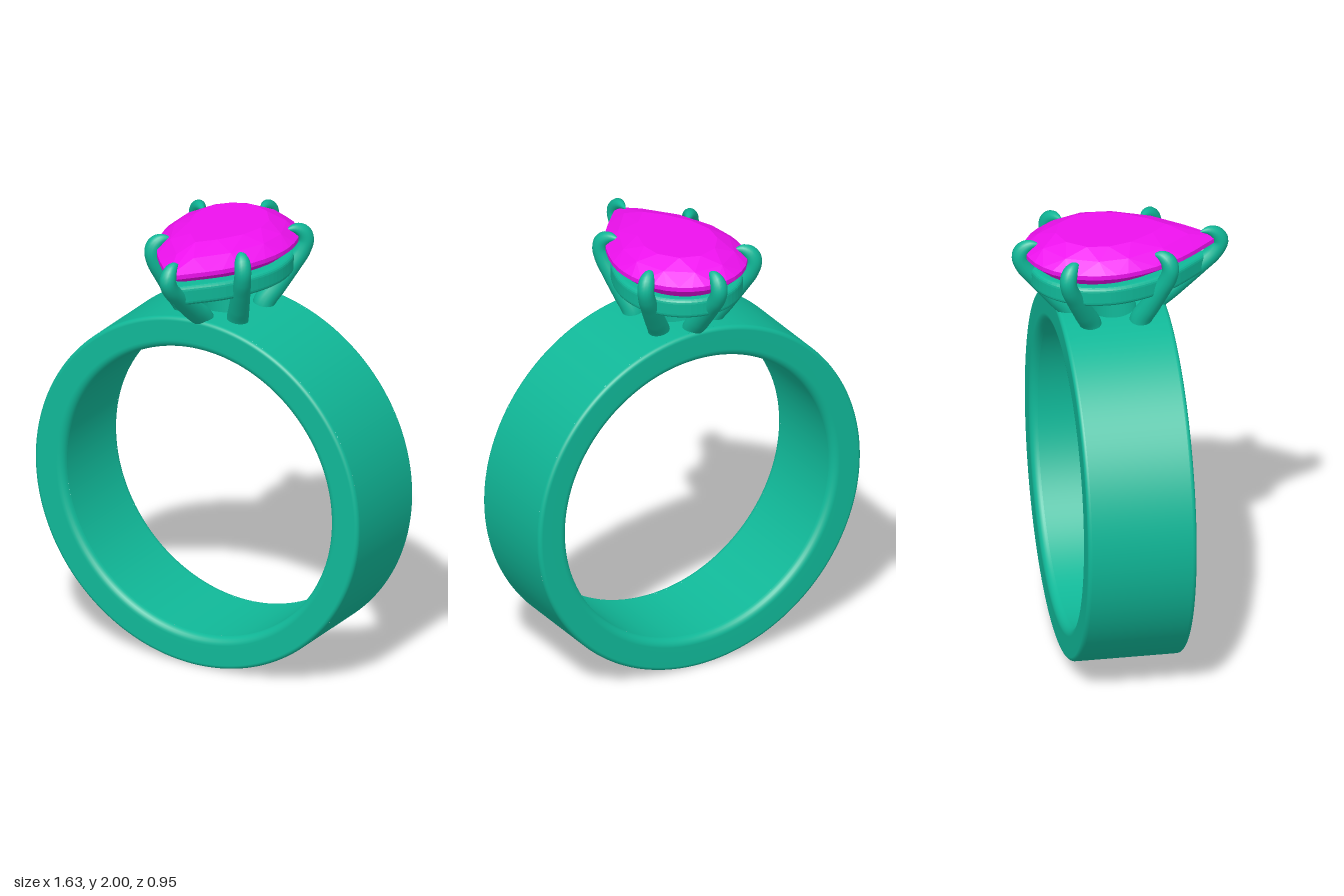
import * as THREE from 'three';
import { ConvexGeometry } from 'three/addons/geometries/ConvexGeometry.js';

const V2 = (x, y) => new THREE.Vector2(x, y);
const V3 = (x, y, z) => new THREE.Vector3(x, y, z);
const metal = new THREE.MeshStandardMaterial({ color: 0x10b898 });
const gem = new THREE.MeshStandardMaterial({ color: 0xee11ee, flatShading: true });

// Band dimensions
const OUT = 0.814, IN = 0.67, HALF = 0.24, MID_Z = -0.04;
const OUT_FILLET = 0.018, IN_FILLET = 0.035, HOLE = 0.11, GAP = 0.3;

function add(parent, name, geometry, material = metal) {
  const mesh = new THREE.Mesh(geometry, material);
  mesh.name = name;
  parent.add(mesh);
  return mesh;
}

// Surface from a function of u and v, both 0..1
function grid(fn, nu, nv) {
  const pos = [], idx = [];
  for (let j = 0; j <= nv; j++)
    for (let i = 0; i <= nu; i++) pos.push(...fn(i / nu, j / nv).toArray());
  for (let j = 0; j < nv; j++)
    for (let i = 0; i < nu; i++) {
      const a = j * (nu + 1) + i, b = a + nu + 1;
      idx.push(a, a + 1, b, a + 1, b + 1, b);
    }
  const g = new THREE.BufferGeometry();
  g.setAttribute('position', new THREE.Float32BufferAttribute(pos, 3));
  g.setIndex(idx);
  g.computeVertexNormals();
  return g;
}

// Lathe turned so that its axis runs along z and its start is at the top
function hoop(points, gap = 0) {
  return new THREE.LatheGeometry(points, 160, gap, Math.PI * 2 - 2 * gap).rotateX(-Math.PI / 2);
}

// Piece of the band's top wall that runs from the round hole to a rectangle
function wallPatch(radius, halfZ, dir) {
  return grid((u, v) => {
    const p = dir * u * Math.PI * 2, c = Math.cos(p), s = Math.sin(p);
    const k = 1 / Math.max(Math.abs(c), Math.abs(s));
    const a = THREE.MathUtils.lerp(Math.asin(HOLE * c / radius), GAP * k * c, v);
    const z = THREE.MathUtils.lerp(HOLE * s, halfZ * k * s, v);
    return V3(radius * Math.sin(a), radius * Math.cos(a), z);
  }, 64, 8);
}

function makeBand() {
  const band = new THREE.Group();
  band.name = 'band';
  band.position.set(0, OUT, MID_Z);

  // Rounded rims, profile running from the outer face to the inner face
  const rim = [];
  for (let i = 0; i <= 6; i++) {
    const a = i / 6 * Math.PI / 2;
    rim.push(V2(OUT - OUT_FILLET * (1 - Math.cos(a)), HALF - OUT_FILLET * (1 - Math.sin(a))));
  }
  for (let i = 0; i <= 6; i++) {
    const a = i / 6 * Math.PI / 2;
    rim.push(V2(IN + IN_FILLET * (1 - Math.sin(a)), HALF - IN_FILLET * (1 - Math.cos(a))));
  }
  add(band, 'backRim', hoop(rim));
  add(band, 'frontRim', hoop(rim.map(p => V2(p.x, -p.y)).reverse()));

  // Outer and inner walls, each with a patch around the hole
  const zo = HALF - OUT_FILLET, zi = HALF - IN_FILLET;
  add(band, 'outerWall', hoop([V2(OUT, -zo), V2(OUT, zo)], GAP));
  add(band, 'innerWall', hoop([V2(IN, zi), V2(IN, -zi)], GAP));
  add(band, 'outerWallTop', wallPatch(OUT, zo, 1));
  add(band, 'innerWallTop', wallPatch(IN, zi, -1));

  // Hole under the stone
  add(band, 'holeWall', grid((u, v) => {
    const p = -u * Math.PI * 2, x = HOLE * Math.cos(p);
    const r = v < 0.5 ? OUT : IN;
    return V3(x, Math.sqrt(r * r - x * x), HOLE * Math.sin(p));
  }, 64, 1));
  return band;
}

// Pear outline in x and z, pointed at the front
const half = [[0.07, 0.36], [0.165, 0.25], [0.238, 0.12], [0.28, -0.01], [0.287, -0.11],
  [0.265, -0.225], [0.2, -0.33], [0.11, -0.395]];
const pearCurve = new THREE.CatmullRomCurve3([
  V3(0, 0, 0.435), ...half.map(([x, z]) => V3(x, 0, z)), V3(0, 0, -0.42),
  ...half.map(([x, z]) => V3(-x, 0, z)).reverse(), V3(0, 0, 0.435)]);

function pear(n, scale, y, shift = 0, centreZ = -0.1) {
  return Array.from({ length: n }, (_, i) => {
    const p = pearCurve.getPoint((i + shift) / n);
    return V3(p.x * scale, y, centreZ + (p.z - centreZ) * scale);
  });
}

function makeStone() {
  return new ConvexGeometry([
    ...pear(12, 0.57, 2.0),            // table
    ...pear(12, 0.82, 1.966, 0.5),     // crown facets
    ...pear(36, 1, 1.922),             // girdle
    ...pear(36, 1, 1.902),
    ...pear(12, 0.62, 1.822, 0.5, -0.13), // pavilion facets
    V3(0, 1.67, -0.15),
  ]);
}

// Pear shaped gallery rail below the stone
function makeRail() {
  const flat = s => pear(72, s, 0).map(p => V2(p.x, p.z));
  const shape = new THREE.Shape(flat(0.87));
  shape.holes.push(new THREE.Path(flat(0.7)));
  const g = new THREE.ExtrudeGeometry(shape, {
    depth: 0.05, bevelThickness: 0.02, bevelSize: 0.02, bevelSegments: 4, curveSegments: 1 });
  return g.rotateX(Math.PI / 2).translate(0, 1.83, 0);
}

// Tapered claw from a base point to a point beside the girdle
function makeProng([bx, bz], [gx, gz]) {
  const len = Math.hypot(gx - bx, gz - bz);
  const at = (t, y, inward = 0) => {
    const k = t - inward / len;
    return V3(bx + (gx - bx) * k, y, bz + (gz - bz) * k);
  };
  const path = new THREE.CatmullRomCurve3([
    at(0, 1.57), at(0.04, 1.62), at(0.32, 1.69), at(0.7, 1.785), at(0.94, 1.85),
    at(1.02, 1.9), at(1, 1.935, 0.01), at(1, 1.952, 0.04), at(1, 1.948, 0.085)]);
  const n = 48, m = 16;
  const g = new THREE.TubeGeometry(path, n, 1, m);
  const pos = g.attributes.position, p = V3(0, 0, 0);
  for (let i = 0; i <= n; i++) {
    const u = i / n, c = path.getPointAt(u);
    const tip = Math.max(0, (u - 0.8) / 0.2);
    const r = (0.05 - 0.013 * Math.min(1, u / 0.7)) * (1 - Math.pow(tip, 1.7));
    for (let j = 0; j <= m; j++) {
      const k = i * (m + 1) + j;
      p.fromBufferAttribute(pos, k).sub(c).multiplyScalar(r).add(c);
      pos.setXYZ(k, p.x, p.y, p.z);
    }
  }
  return g;
}

export function createModel() {
  const ring = new THREE.Group();
  ring.name = 'ring';
  ring.add(makeBand());
  add(ring, 'stone', makeStone(), gem);
  add(ring, 'galleryRail', makeRail());

  // Front and back prongs, then the mirrored side pairs
  add(ring, 'frontProng', makeProng([0, 0.13], [0, 0.435]));
  add(ring, 'backProng', makeProng([0, -0.21], [0, -0.435]));
  for (const [side, s] of [['left', 1], ['right', -1]]) {
    add(ring, side + 'FrontProng', makeProng([s * 0.13, 0.065], [s * 0.225, 0.182]));
    add(ring, side + 'BackProng', makeProng([s * 0.13, -0.15], [s * 0.27, -0.272]));
  }
  return ring;
}
